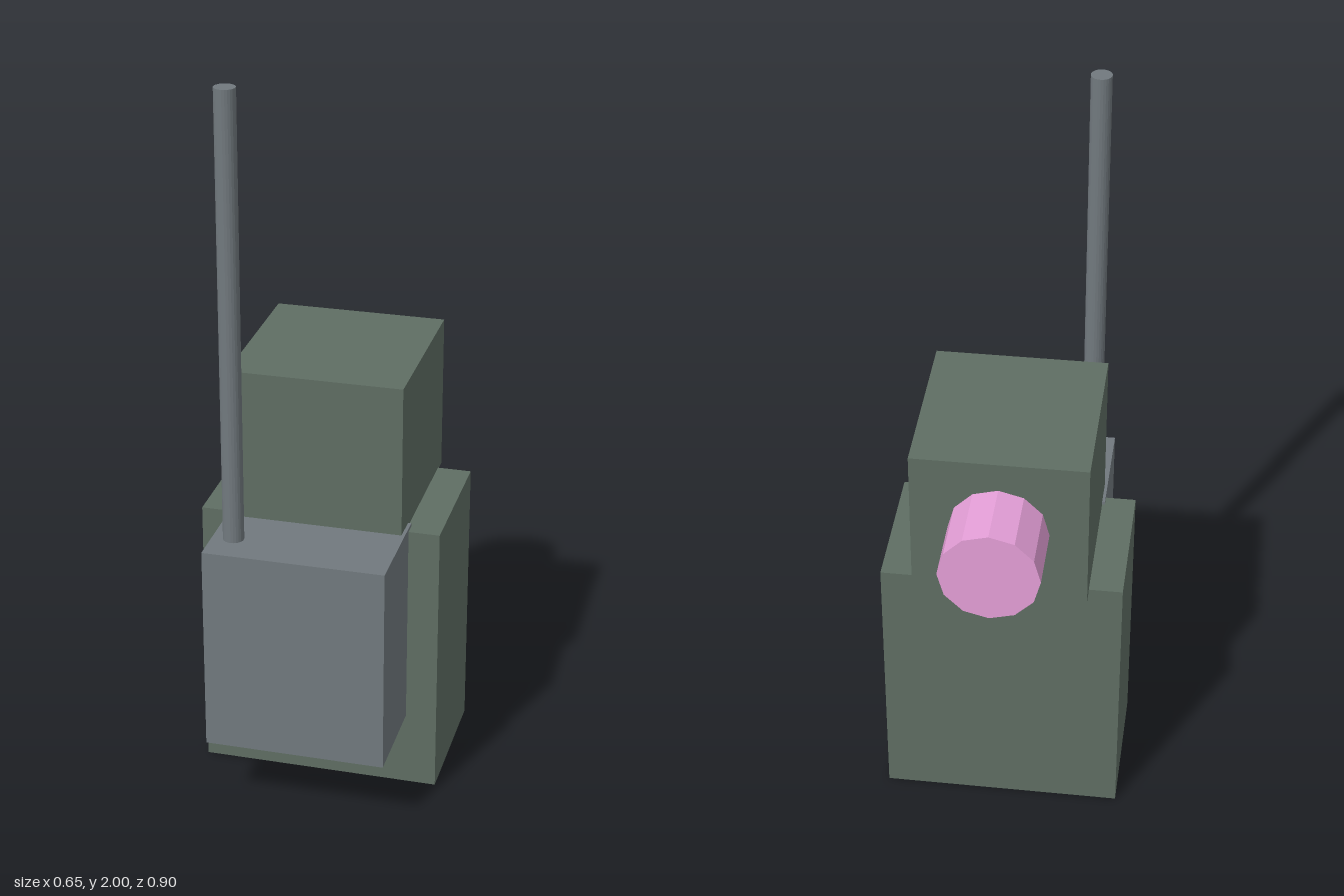
import * as THREE from 'three';

const material = (color) => new THREE.MeshStandardMaterial({ color, flatShading: true });

export function createModel() {
  const model = new THREE.Group();
  const green = material(0x5f6e63);
  const grey = material(0x71797e);
  const pink = material(0xe59fd8);

  const add = (name, geometry, mat, x, y, z) => {
    const mesh = new THREE.Mesh(geometry, mat);
    mesh.name = name;
    mesh.position.set(x, y, z);
    model.add(mesh);
    return mesh;
  };

  // Box given by its lower and upper corners
  const addBox = (name, mat, [x0, y0, z0], [x1, y1, z1]) =>
    add(name, new THREE.BoxGeometry(x1 - x0, y1 - y0, z1 - z0), mat,
      (x0 + x1) / 2, (y0 + y1) / 2, (z0 + z1) / 2);

  // Torso and head
  addBox('body', green, [-0.327, 0, -0.218], [0.326, 0.773, 0.182]);
  addBox('head', green, [-0.236, 0.767, -0.262], [0.233, 1.2, 0.225]);

  // Pack with its tall aerial
  addBox('pack', grey, [-0.244, 0.21, 0.15], [0.242, 0.783, 0.45]);
  add('antenna', new THREE.CylinderGeometry(0.028, 0.028, 1.25, 24), grey, -0.187, 1.375, 0.351);

  // Twelve-sided snout
  const snout = add('snout', new THREE.CylinderGeometry(0.134, 0.134, 0.23, 12), pink, 0, 0.984, -0.338);
  snout.rotation.x = Math.PI / 2;

  return model;
}
